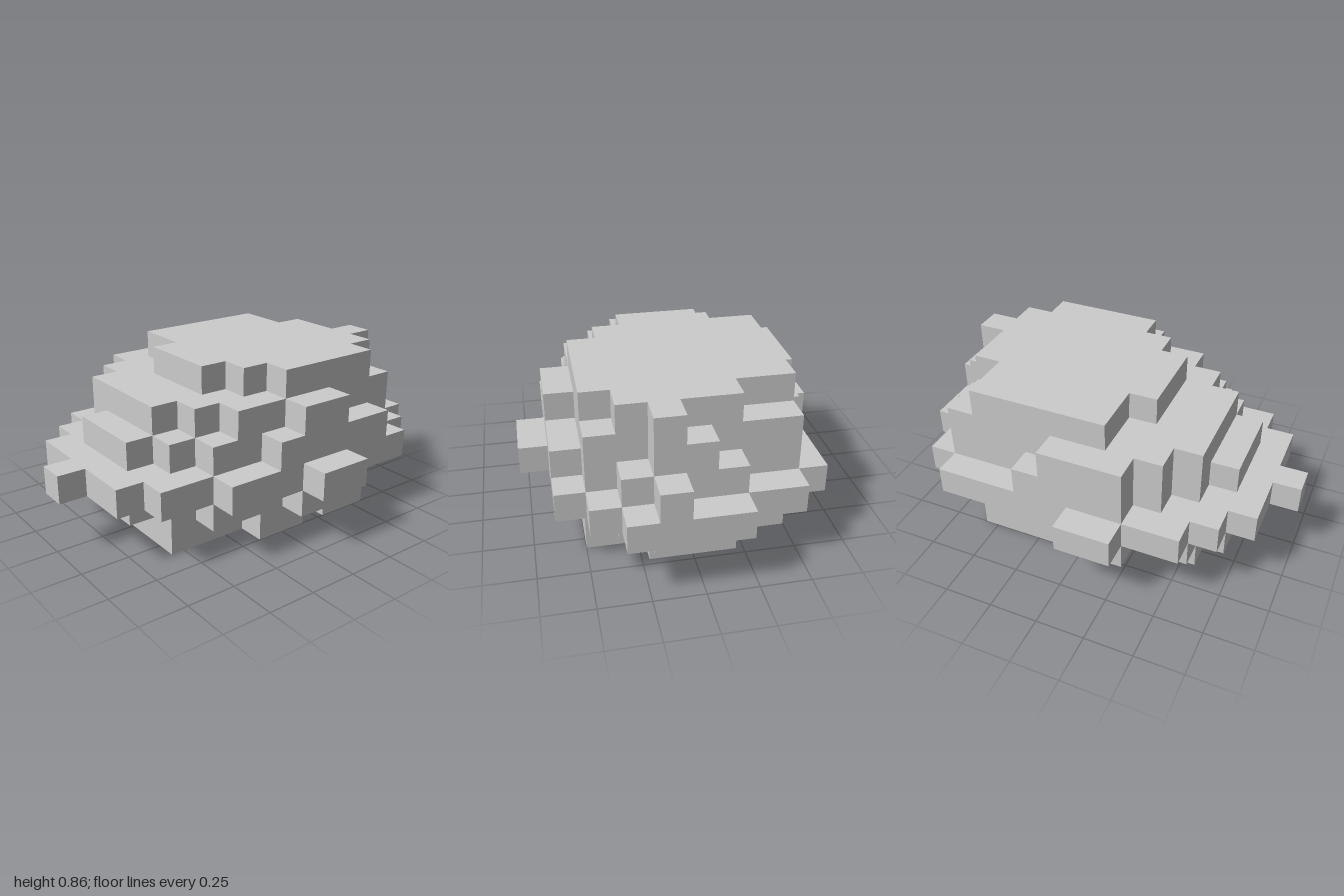
import * as THREE from 'three';

// The rock is made of stacked slabs on a grid of cubes with this edge length.
const CELL = 1 / 7;

// Each layer, bottom to top: its rearmost row, then runs of rows from back to front.
// A run is [number of rows, first column, last column]; column 0 is the middle one.
const LAYERS = [
  { name: 'baseLayer', back: -5,
    runs: [[1, -1, 1], [2, -3, 3], [1, -3, 2], [2, -3, 3], [3, -2, 2]] },
  { name: 'lowerLayer', back: -6,
    runs: [[1, 0, 1], [1, -2, 2], [3, -3, 3], [1, -3, 4], [2, -4, 3], [1, -3, 3], [1, -3, 2], [1, -2, 1]] },
  { name: 'widestLayer', back: -7,
    runs: [[1, -1, 2], [1, -3, 3], [3, -4, 4], [2, -4, 5], [2, -5, 4], [1, -4, 4], [1, -4, 3],
      [1, -3, 3], [1, -2, 2], [1, 0, 0]] },
  { name: 'middleLayer', back: -7,
    runs: [[1, 1, 1], [1, -1, 2], [1, -3, 3], [2, -3, 4], [3, -4, 4], [1, -4, 3], [1, -3, 3],
      [1, -2, 2], [1, -1, 1]] },
  { name: 'upperLayer', back: -6,
    runs: [[1, 0, 1], [1, -3, 3], [2, -3, 3], [1, -3, 4], [1, -4, 4], [2, -4, 3], [1, -3, 2], [1, -2, 1]] },
  { name: 'topLayer', back: -6,
    runs: [[1, 1, 1], [1, -1, 2], [4, -3, 3], [1, -3, 2], [1, -1, 1]] },
];

// Stepped outline of one layer, extruded one cube high
function layerGeometry({ back, runs }) {
  const left = [], right = [];
  const add = (list, x, z) => {
    const p = new THREE.Vector2(x * CELL, -z * CELL);
    if (!list.length || !list[list.length - 1].equals(p)) list.push(p);
  };
  let z = back;
  for (const [rows, first, last] of runs) {
    add(left, first - 0.5, z);
    add(right, last + 0.5, z);
    z += rows;
    add(left, first - 0.5, z);
    add(right, last + 0.5, z);
  }
  const shape = new THREE.Shape([...left, ...right.reverse()]);
  const geometry = new THREE.ExtrudeGeometry(shape, { depth: CELL, bevelEnabled: false });
  return geometry.rotateX(-Math.PI / 2);
}

export function createModel() {
  const model = new THREE.Group();
  model.name = 'blockyBoulder';
  const material = new THREE.MeshStandardMaterial({ color: 0xcccccc, flatShading: true });
  LAYERS.forEach((layer, i) => {
    const mesh = new THREE.Mesh(layerGeometry(layer), material);
    mesh.name = layer.name;
    mesh.position.y = i * CELL;
    model.add(mesh);
  });
  return model;
}
